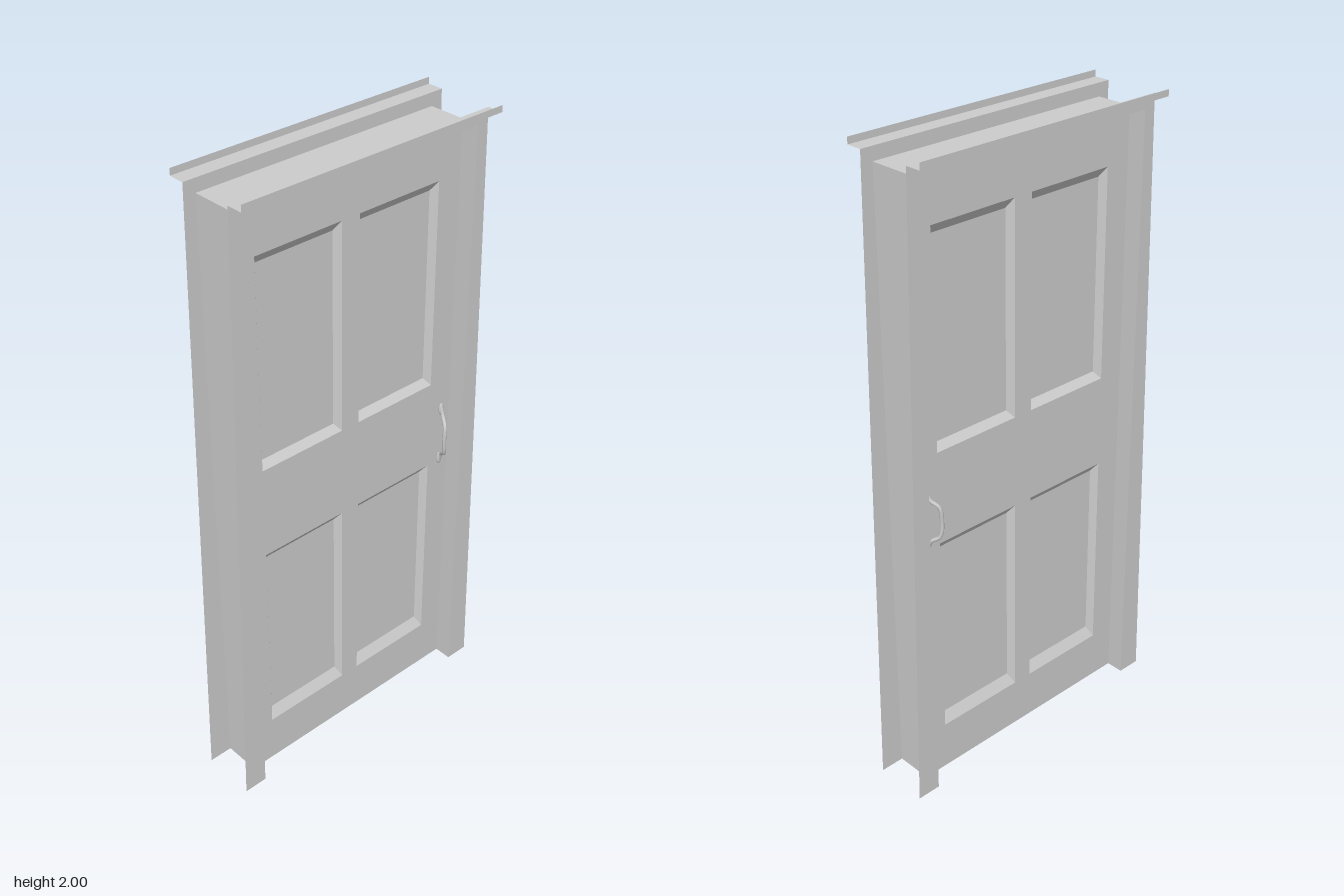
import * as THREE from 'three';

const mat = new THREE.MeshStandardMaterial({ color: 0xcccccc, side: THREE.DoubleSide, flatShading: true });
const smooth = new THREE.MeshStandardMaterial({ color: 0xcccccc });

const W = 0.41, H = 1.94;          // opening half width and height
const JAMB = 0.0875;               // half depth of the lining
const DOOR = 0.03, RECESS = 0.02;  // half thickness of the leaf, depth of panels

function add(parent, geometry, name, material = mat) {
  const mesh = new THREE.Mesh(geometry, material);
  mesh.name = name;
  parent.add(mesh);
  return mesh;
}

// Sheet skinned between two equal lists of [x, y, z] points
function strip(a, b) {
  const pos = [];
  for (let i = 0; i < a.length - 1; i++) {
    pos.push(...a[i], ...a[i + 1], ...b[i + 1], ...a[i], ...b[i + 1], ...b[i]);
  }
  const g = new THREE.BufferGeometry();
  g.setAttribute('position', new THREE.Float32BufferAttribute(pos, 3));
  g.computeVertexNormals();
  return g;
}

const polygon = pts => new THREE.Shape(pts.map(p => new THREE.Vector2(...p)));
const rect = (x0, y0, x1, y1) => [[x0, y0], [x1, y0], [x1, y1], [x0, y1]];
const loop = (pts, z) => [...pts, pts[0]].map(([x, y]) => [x, y, z]);

// Outer edge and sunk field of each panel
const panels = [];
for (const [y0, y1, in0, in1] of [[1.12, 1.782, 1.142, 1.752], [0.16, 0.823, 0.195, 0.796]]) {
  for (const [x0, x1] of [[-0.328, -0.032], [0.032, 0.328]]) {
    panels.push({
      outer: rect(x0, y0, x1, y1),
      inner: rect(x0 + 0.016, in0, x1 - 0.016, in1),
    });
  }
}

// One face of the leaf, with bevelled sunk panels
function doorFace() {
  const g = new THREE.Group();
  g.name = 'doorFace';
  const face = polygon(rect(-W, 0, W, H));
  panels.forEach(p => face.holes.push(polygon(p.outer)));
  add(g, new THREE.ShapeGeometry(face).translate(0, 0, DOOR), 'stilesAndRails');
  for (const { outer, inner } of panels) {
    add(g, strip(loop(outer, DOOR), loop(inner, DOOR - RECESS)), 'panelBevel');
    add(g, new THREE.ShapeGeometry(polygon(inner)).translate(0, 0, DOOR - RECESS), 'panelField');
  }
  return g;
}

// Tapered casing around the opening, topped by an open stepped cornice
function casing() {
  const g = new THREE.Group();
  g.name = 'casing';
  const shape = polygon([
    [-0.487, 0], [-W, 0], [-W, H], [W, H], [W, 0], [0.487, 0], [0.447, 1.98], [-0.447, 1.98],
  ]);
  add(g, new THREE.ShapeGeometry(shape).translate(0, 0, JAMB), 'architrave');
  const profile = [[1.98, JAMB], [1.98, JAMB + 0.05], [2.0, JAMB + 0.05]];
  const at = x => profile.map(([y, z]) => [x, y, z]);
  add(g, strip(at(-0.447), at(0.447)), 'cornice');
  return g;
}

// Bowed pull handle with leaf-shaped ends; s is the side of the leaf
function handle(s) {
  const g = new THREE.Group();
  g.name = 'handle';
  const path = [
    [0.374, 0.10, 0.032], [0.372, 0.068, 0.045], [0.358, 0.048, 0.068], [0.353, 0, 0.072],
    [0.358, -0.048, 0.068], [0.372, -0.068, 0.045], [0.374, -0.10, 0.032],
  ].map(([x, y, z]) => new THREE.Vector3(x, y + 0.925, z * s));
  add(g, new THREE.TubeGeometry(new THREE.CatmullRomCurve3(path), 32, 0.006, 8), 'grip', smooth);
  for (const side of [1, -1]) {
    const leaf = add(g, new THREE.SphereGeometry(1, 12, 8), 'handleEnd', smooth);
    leaf.scale.set(0.009, 0.021, 0.006);
    leaf.position.set(0.374, 0.924 + side * 0.091, s * 0.033);
  }
  return g;
}

export function createModel() {
  const model = new THREE.Group();
  model.name = 'door';

  // Lining: two sides and head, open below
  const path = [[-W, 0], [-W, H], [W, H], [W, 0]];
  const at = z => path.map(([x, y]) => [x, y, z]);
  add(model, strip(at(JAMB), at(-JAMB)), 'lining');

  // Leaf
  const leaf = new THREE.Group();
  leaf.name = 'leaf';
  model.add(leaf);
  add(leaf, strip([[-W, 0, -DOOR], [W, 0, -DOOR]], [[-W, 0, DOOR], [W, 0, DOOR]]), 'bottomEdge');

  // Both sides carry the same face, casing and handle
  for (const s of [1, -1]) {
    for (const [part, parent] of [[doorFace(), leaf], [casing(), model]]) {
      if (s < 0) part.rotation.y = Math.PI;
      parent.add(part);
    }
    leaf.add(handle(s));
  }
  return model;
}
